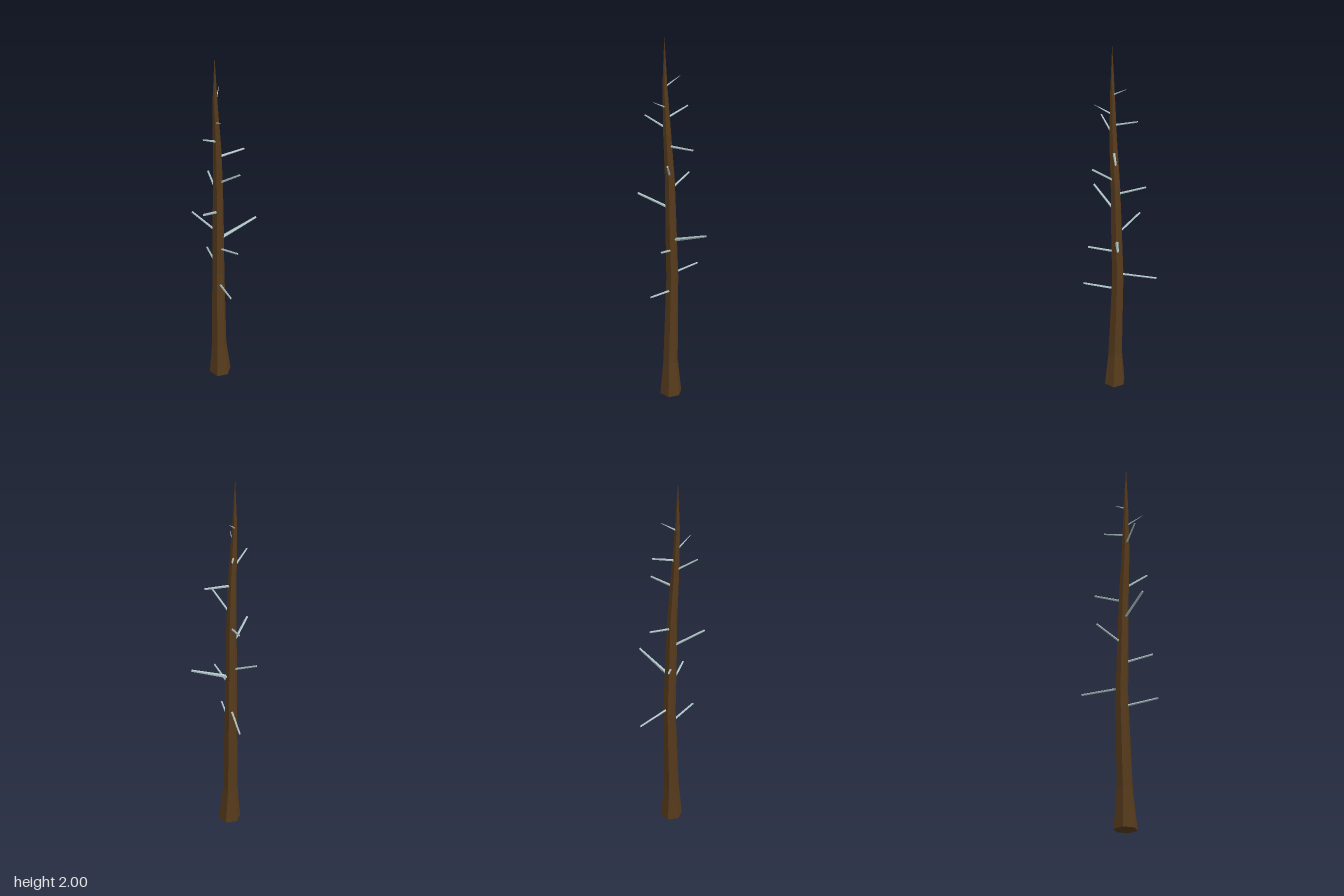
import * as THREE from 'three';

// Facet a geometry so every face is flat
function faceted(geometry) {
  const flat = geometry.toNonIndexed();
  flat.computeVertexNormals();
  return flat;
}

// Trunk rings from root to tip: y, centre x, centre z, radius
const rings = [
  [0, -0.045, 0.027, 0.06],
  [0.2, -0.049, 0.024, 0.041],
  [0.7, -0.047, 0.009, 0.033],
  [1.0, -0.049, 0.016, 0.03],
  [1.25, -0.05, 0.021, 0.026],
  [1.5, -0.057, 0.032, 0.021],
  [1.75, -0.067, 0.036, 0.013],
  [2.0, -0.068, 0.037, 0.0005],
];

// Trunk centre at a given height
function trunkCentre(y) {
  let i = 0;
  while (i < rings.length - 2 && y > rings[i + 1][0]) i++;
  const a = rings[i], b = rings[i + 1];
  const t = (y - a[0]) / (b[0] - a[0]);
  return new THREE.Vector3(a[1] + (b[1] - a[1]) * t, y, a[2] + (b[2] - a[2]) * t);
}

// Branches: height at the trunk, then tip x, y, z, then inner and outer radius
const branches = [
  [0.625, -0.034, 0.66, 0.191, 0.006, 0.005],
  [0.725, -0.05, 0.705, -0.196, 0.006, 0.005],
  [0.86, 0.011, 0.92, 0.157, 0.006, 0.005],
  [0.92, 0.163, 1.0, -0.01, 0.01, 0.006],
  [0.965, -0.155, 1.04, -0.097, 0.006, 0.005],
  [1.1, -0.159, 1.195, 0.142, 0.007, 0.006],
  [1.205, -0.057, 1.25, -0.133, 0.006, 0.005],
  [1.28, 0.028, 1.385, 0.128, 0.006, 0.005],
  [1.443, 0.089, 1.45, 0.006, 0.007, 0.005],
  [1.535, -0.144, 1.605, 0.1, 0.006, 0.004],
  [1.59, -0.029, 1.63, -0.091, 0.006, 0.004],
  [1.645, -0.064, 1.695, 0.125, 0.005, 0.001],
  [1.75, -0.027, 1.8, -0.034, 0.005, 0.001],
];

export function createModel() {
  const model = new THREE.Group();
  model.name = 'deadTree';
  const bark = new THREE.MeshStandardMaterial({ color: 0x573b1c });
  bark.name = 'dark brown bark';
  const paleWood = new THREE.MeshStandardMaterial({ color: 0xaec4c6 });
  paleWood.name = 'pale grey branch';

  // Six-sided trunk, each row of the cylinder moved to its ring
  const rows = rings.length - 1;
  const geometry = new THREE.CylinderGeometry(1, 1, rows, 6, rows, false, Math.PI / 2);
  const p = geometry.attributes.position;
  for (let i = 0; i < p.count; i++) {
    const [y, x, z, r] = rings[Math.round(p.getY(i) + rows / 2)];
    p.setXYZ(i, x + p.getX(i) * r, y, z + p.getZ(i) * r);
  }
  const trunk = new THREE.Mesh(faceted(geometry), bark);
  trunk.name = 'trunk';
  model.add(trunk);

  // Bare branch stubs running out from the trunk centre
  const up = new THREE.Vector3(0, 1, 0);
  branches.forEach(([y, tx, ty, tz, r0, r1], i) => {
    const start = trunkCentre(y);
    const along = new THREE.Vector3(tx, ty, tz).sub(start);
    const length = along.length();
    const stick = new THREE.CylinderGeometry(r1, r0, length, 5);
    stick.translate(0, length / 2, 0);
    const branch = new THREE.Mesh(faceted(stick), paleWood);
    branch.name = `branch${i + 1}`;
    branch.position.copy(start);
    branch.quaternion.setFromUnitVectors(up, along.normalize());
    model.add(branch);
  });
  return model;
}
